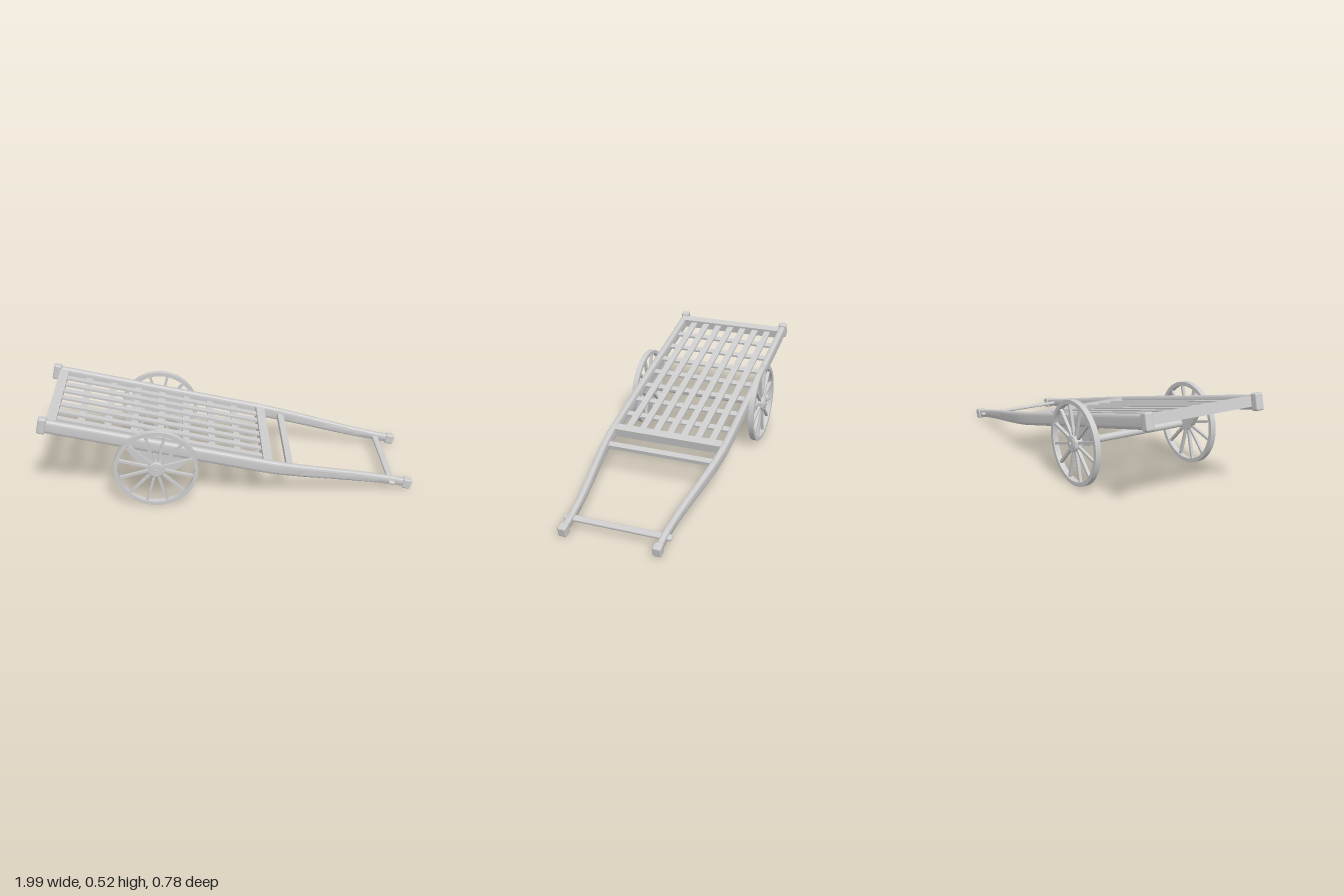
import * as THREE from 'three';
import { toCreasedNormals } from 'three/addons/utils/BufferGeometryUtils.js';
import { RoundedBoxGeometry } from 'three/addons/geometries/RoundedBoxGeometry.js';

const material = new THREE.MeshStandardMaterial({ color: 0xcccccc });
const TILT = Math.atan(0.234);
const { smoothstep, lerp } = THREE.MathUtils;

function add(parent, name, geometry, x = 0, y = 0, z = 0) {
  const mesh = new THREE.Mesh(geometry, material);
  mesh.name = name;
  mesh.position.set(x, y, z);
  parent.add(mesh);
  return mesh;
}

// Unit rounded square, centred on the origin
function roundedSquare(r) {
  const s = new THREE.Shape();
  const h = 0.5, c = h - r;
  s.absarc(c, c, r, 0, Math.PI / 2);
  s.absarc(-c, c, r, Math.PI / 2, Math.PI);
  s.absarc(-c, -c, r, Math.PI, Math.PI * 1.5);
  s.absarc(c, -c, r, Math.PI * 1.5, Math.PI * 2);
  s.closePath();
  return s;
}

// Long side rail: straight along the bed, then tapering and bending inwards
function railGeometry(side) {
  const g = new THREE.ExtrudeGeometry(roundedSquare(0.28), {
    depth: 1, steps: 48, bevelEnabled: false, curveSegments: 5,
  });
  const p = g.attributes.position;
  for (let i = 0; i < p.count; i++) {
    const u = lerp(-1, 1, p.getZ(i));
    const taper = Math.max(0, Math.min(1, (u - 0.22) / 0.74));
    const bend = smoothstep(u, 0.16, 0.95);
    const top = 0.036, bottom = lerp(-0.035, -0.007, taper);
    const y = lerp(bottom, top, p.getY(i) + 0.5);
    const z = side * lerp(0.322, 0.247, bend) - p.getX(i) * lerp(0.037, 0.032, taper);
    p.setXYZ(i, u, y, z);
  }
  return toCreasedNormals(g, 0.7);
}

// Axle support hanging below each rail
function bracketGeometry() {
  const s = new THREE.Shape();
  s.moveTo(-0.57, -0.02);
  s.lineTo(-0.47, -0.118);
  s.quadraticCurveTo(-0.46, -0.128, -0.44, -0.128);
  s.lineTo(-0.31, -0.128);
  s.quadraticCurveTo(-0.28, -0.128, -0.265, -0.105);
  s.lineTo(-0.19, -0.02);
  s.closePath();
  return new THREE.ExtrudeGeometry(s, { depth: 0.028, bevelEnabled: false });
}

// Spoked wheel, axis along z, outer face towards +z
function makeWheel() {
  const wheel = new THREE.Group();
  const ring = new THREE.Shape().absarc(0, 0, 0.221, 0, Math.PI * 2);
  ring.holes.push(new THREE.Path().absarc(0, 0, 0.2, 0, Math.PI * 2, true));
  const rim = new THREE.ExtrudeGeometry(ring, { depth: 0.03, bevelEnabled: false, curveSegments: 56 });
  add(wheel, 'rim', toCreasedNormals(rim, 0.6), 0, 0, -0.015);

  const spoke = new THREE.BoxGeometry(0.172, 0.013, 0.016).translate(0.119, 0, 0);
  for (let i = 0; i < 12; i++) {
    add(wheel, 'spoke', spoke).rotation.z = (i + 0.5) * Math.PI / 6;
  }

  const profile = [[0, -0.022], [0.043, -0.022], [0.043, 0.02], [0.039, 0.023], [0.031, 0.023],
    [0.031, 0.027], [0.009, 0.028], [0.009, 0.034], [0, 0.035]];
  const hub = new THREE.LatheGeometry(profile.map(([r, y]) => new THREE.Vector2(r, y)), 32);
  add(wheel, 'hub', toCreasedNormals(hub.rotateX(Math.PI / 2), 0.6));
  return wheel;
}

export function createModel() {
  const cart = new THREE.Group();
  cart.name = 'handcart';

  // Everything of the frame lies along one sloping plane
  const frame = new THREE.Group();
  frame.name = 'frame';
  frame.position.y = 0.2475;
  frame.rotation.z = -TILT;
  cart.add(frame);

  for (const side of [1, -1]) {
    add(frame, 'sideRail', railGeometry(side));
    add(frame, 'rearCap', new RoundedBoxGeometry(0.044, 0.087, 0.045, 3, 0.009), -0.995, 0.002, side * 0.322);
    add(frame, 'handleCap', new RoundedBoxGeometry(0.048, 0.056, 0.045, 3, 0.009), 0.992, 0.014, side * 0.247);
    add(frame, 'axleBracket', bracketGeometry(), 0, 0, side * 0.321 - 0.014);
  }

  // Crossbars
  const endBar = new THREE.BoxGeometry(0.05, 0.05, 0.62);
  add(frame, 'rearCrossbar', endBar, -0.954, 0.005, 0);
  add(frame, 'frontCrossbar', endBar, 0.198, 0.005, 0);
  add(frame, 'frontBrace', new THREE.BoxGeometry(0.036, 0.022, 0.6), 0.326, 0.002, 0);
  add(frame, 'handlebar', new RoundedBoxGeometry(0.037, 0.018, 0.57, 3, 0.008), 0.902, 0.011, 0);

  // Bed lattice: long slats resting on cross slats
  const longSlat = new THREE.BoxGeometry(1.11, 0.012, 0.037);
  for (let i = -3; i <= 3; i++) add(frame, 'longSlat', longSlat, -0.378, 0.0125, i * 0.0803);
  const crossSlat = new THREE.BoxGeometry(0.037, 0.012, 0.62);
  for (let i = -3; i <= 3; i++) add(frame, 'crossSlat', crossSlat, -0.382 + i * 0.141, 0.0005, 0);

  // Axle and wheels
  const axle = new THREE.CylinderGeometry(0.019, 0.019, 0.7, 24).rotateX(Math.PI / 2);
  add(cart, 'axle', axle, -0.392, 0.224, 0);
  for (const side of [1, -1]) {
    const wheel = makeWheel();
    wheel.name = side > 0 ? 'frontWheel' : 'backWheel';
    wheel.position.set(-0.392, 0.224, side * 0.355);
    if (side < 0) wheel.rotation.y = Math.PI;
    cart.add(wheel);
  }
  return cart;
}
